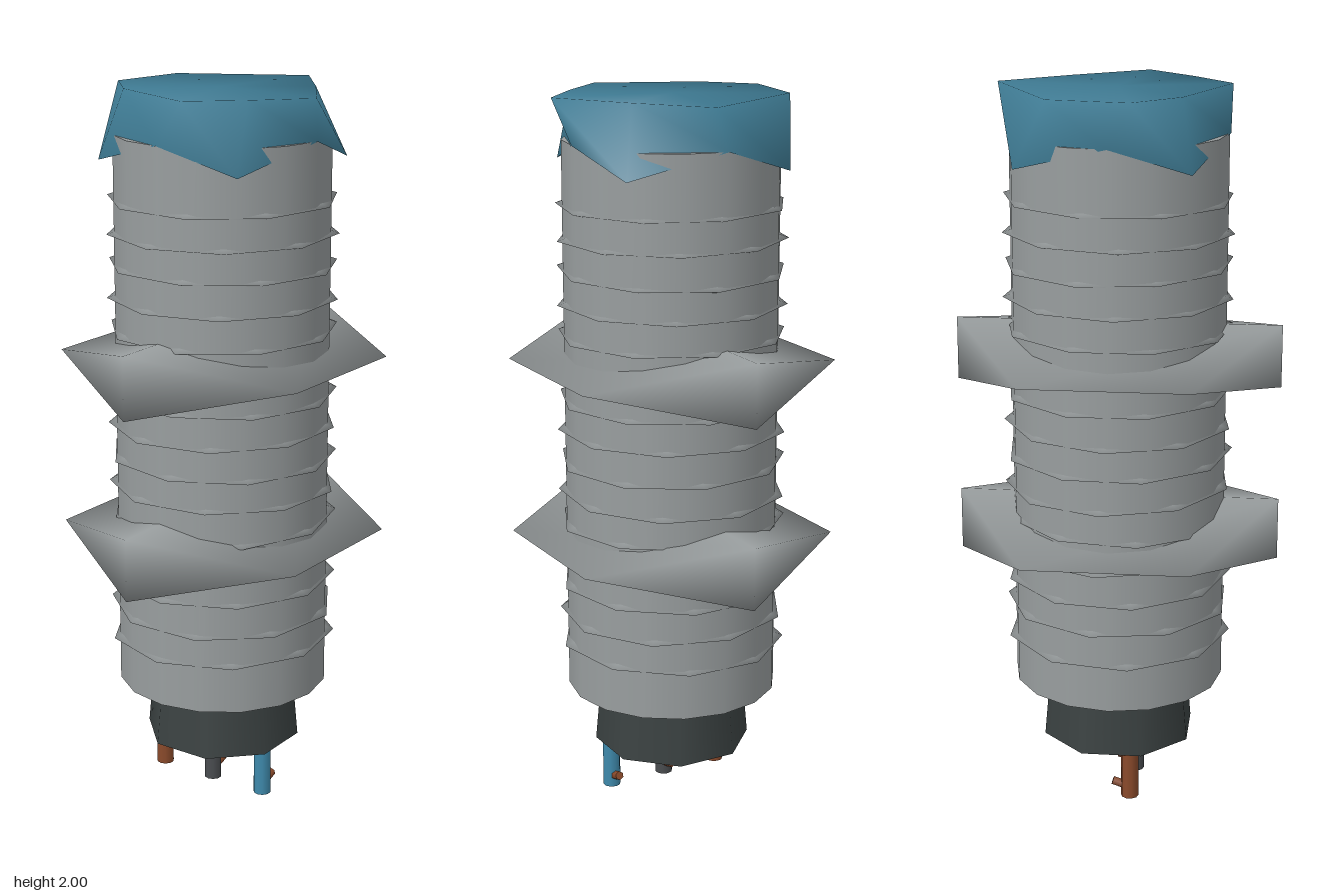
import * as THREE from 'three';
import { mergeVertices } from 'three/addons/utils/BufferGeometryUtils.js';
import { ConvexGeometry } from 'three/addons/geometries/ConvexGeometry.js';

const paint = (name, color, side = THREE.FrontSide) => {
  const m = new THREE.MeshStandardMaterial({ color, side });
  m.name = name;
  return m;
};

export function createModel() {
  const steel = paint('steel grey', 0x999e9f);
  const teal = paint('cap teal', 0x3d7890, THREE.DoubleSide);
  const dark = paint('dark collar', 0x3b4242);
  const copper = paint('copper brown', 0x8a4a2b);
  const blue = paint('wire blue', 0x3f8aac);
  const black = paint('wire black', 0x4a4d50);

  const model = new THREE.Group();
  const add = (name, geometry, material, x = 0, y = 0, z = 0) => {
    const mesh = new THREE.Mesh(geometry, material);
    mesh.name = name;
    mesh.position.set(x, y, z);
    model.add(mesh);
    return mesh;
  };

  // Barrel
  add('barrel', new THREE.CylinderGeometry(0.297, 0.297, 1.56, 16), steel, 0, 1.1, 0);

  // Thread ridges: coarse rings whose corners just break through the barrel
  const ridge = new THREE.LatheGeometry(
    [[0.27, -0.012], [0.318, 0], [0.27, 0.016]].map(([r, y]) => new THREE.Vector2(r, y)), 9);
  for (let i = 0; i < 15; i++) {
    const ring = add('threadRidge', ridge, steel, 0, 0.455 + i * 0.0892, 0);
    ring.rotation.set(0.012 * Math.sin(i * 2), i * 0.37, 0.012 * Math.cos(i * 3));
  }

  // Folded hexagonal nuts: tall at front and back, pinched to an edge at the sides
  const corners = [];
  for (const s of [-1, 1]) {
    for (const t of [-1, 1]) {
      corners.push(new THREE.Vector3(0, 0.088 * s, 0.45 * t));
      corners.push(new THREE.Vector3(0.39 * s, 0, 0.225 * t));
    }
  }
  let nut = new ConvexGeometry(corners);
  nut.deleteAttribute('normal');
  nut = mergeVertices(nut, 1e-4);
  nut.computeVertexNormals();
  for (const y of [0.767, 1.27]) add('nut', nut, steel, 0, y, 0);

  // Sensing cap: uneven flat rim above a skirt with four drooping lobes
  const rim = [[0.33, 0.055], [0.21, 0.185], [0.08, 0.3], [-0.19, 0.185],
    [-0.305, 0.06], [-0.27, -0.16], [0.057, -0.333], [0.2, -0.145]];
  const skirt = [[0.3, 0], [0.22, 0.25], [0, 0.3], [-0.255, 0.215],
    [-0.3, 0], [-0.215, -0.255], [0, -0.3], [0.255, -0.22]];
  const points = [0, 2, 0];
  rim.forEach(([x, z]) => points.push(x, 2, z));
  skirt.forEach(([x, z], i) => points.push(x, i % 2 ? 1.81 : 1.88, z));
  const faces = [];
  for (let i = 0; i < 8; i++) {
    const a = 1 + i, b = 1 + (i + 1) % 8;
    faces.push(0, b, a, a, b, a + 8, b, b + 8, a + 8);
  }
  const cap = new THREE.BufferGeometry();
  cap.setAttribute('position', new THREE.Float32BufferAttribute(points, 3));
  cap.setIndex(faces);
  cap.computeVertexNormals();
  add('sensingCap', cap, teal);

  // Cable collar
  const collar = add('cableCollar', new THREE.CylinderGeometry(0.205, 0.222, 0.19, 8), dark, 0, 0.235, 0);
  collar.rotation.y = Math.PI / 8;

  // Three wires, each with a short bare strand poking out behind
  const wire = new THREE.CylinderGeometry(0.025, 0.025, 0.16, 10);
  const strand = new THREE.CylinderGeometry(0.013, 0.013, 0.05, 6);
  [[-0.173, copper], [0, black], [0.173, blue]].forEach(([x, material]) => {
    add('wire', wire, material, x, 0.08, 0.05);
    add('bareStrand', strand, copper, x, 0.036, 0.025).rotation.x = -1.25;
  });

  return model;
}
